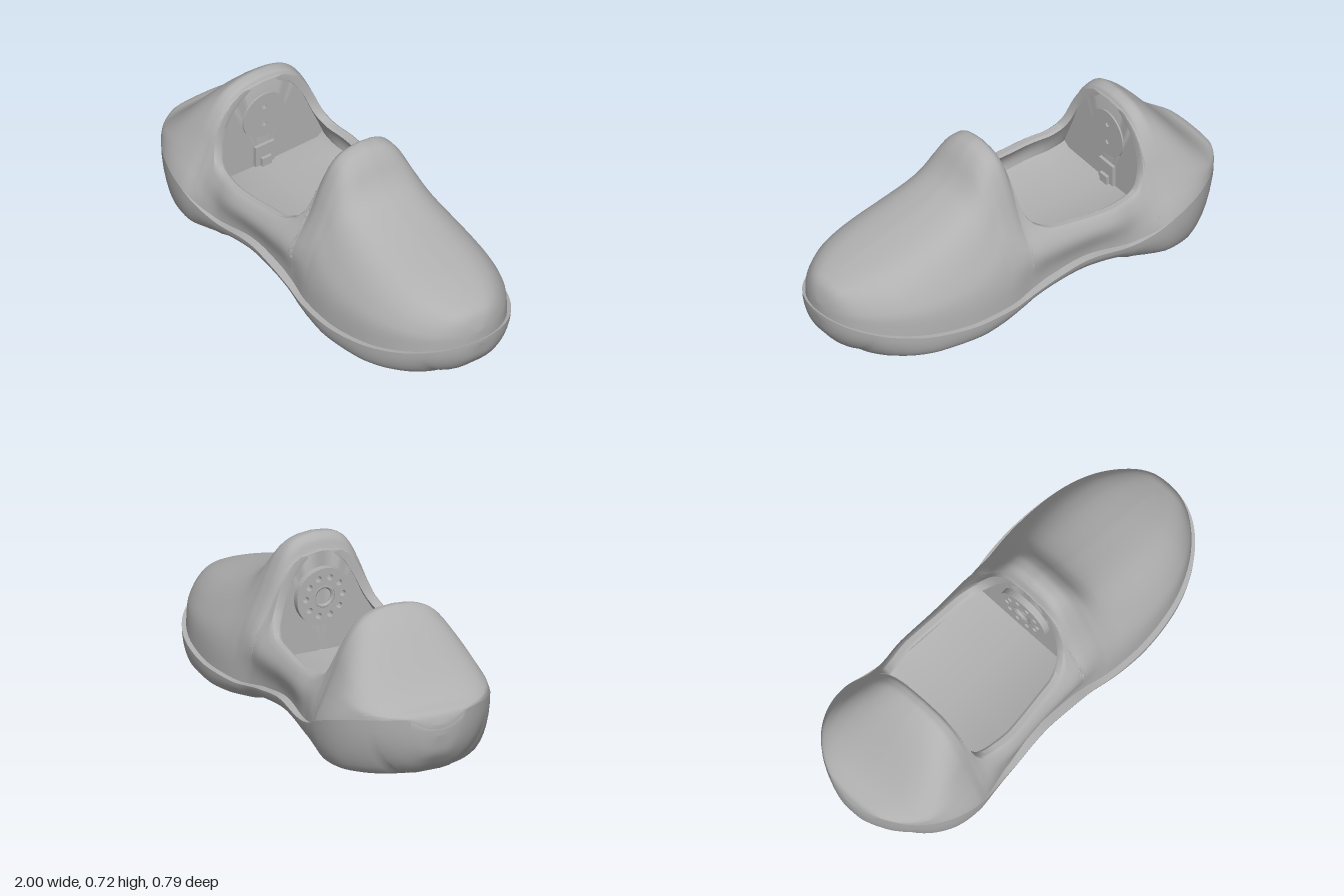
import * as THREE from 'three';
import { toCreasedNormals } from 'three/addons/utils/BufferGeometryUtils.js';

// Smooth monotone interpolation through [x, value] pairs
function curve(pts) {
  const n = pts.length;
  const d = pts.slice(1).map((p, i) => (p[1] - pts[i][1]) / (p[0] - pts[i][0]));
  const m = pts.map((p, i) => {
    if (i === 0) return d[0];
    if (i === n - 1) return d[n - 2];
    return d[i - 1] * d[i] <= 0 ? 0 : (2 * d[i - 1] * d[i]) / (d[i - 1] + d[i]);
  });
  return (x) => {
    if (x <= pts[0][0]) return pts[0][1];
    if (x >= pts[n - 1][0]) return pts[n - 1][1];
    let i = 0;
    while (x > pts[i + 1][0]) i++;
    const w = pts[i + 1][0] - pts[i][0], t = (x - pts[i][0]) / w, u = 1 - t;
    return pts[i][1] * (1 + 2 * t) * u * u + m[i] * w * t * u * u
      + pts[i + 1][1] * t * t * (3 - 2 * t) - m[i + 1] * w * t * t * u;
  };
}

// Shape rules along the length
const widthBase = curve([[-1, 0.633], [-0.95, 0.618], [-0.9, 0.605], [-0.8, 0.572], [-0.7, 0.533], [-0.6, 0.488], [-0.5, 0.437],
  [-0.4, 0.4], [-0.1, 0.353], [0.1, 0.363], [0.25, 0.398], [0.4, 0.431], [0.55, 0.46], [0.7, 0.49], [0.8, 0.507], [0.9, 0.525], [1, 0.56]]);
const width = (x) => widthBase(x) * Math.sqrt(Math.max(0, 1 - x * x));
const bottom = curve([[-1, 0.2], [-0.985, 0.12], [-0.96, 0.075], [-0.92, 0.025], [-0.88, 0], [-0.4, 0], [-0.37, 0.02], [-0.3, 0.04],
  [-0.17, 0.05], [0, 0.04], [0.11, 0.02], [0.15, 0], [0.89, 0], [0.93, 0.02], [0.97, 0.065], [0.985, 0.095], [1, 0.165]]);
const bottomRatio = curve([[-1, 0.2], [-0.88, 0.2], [-0.86, 0.42], [-0.8, 0.67], [-0.7, 0.81], [-0.6, 0.83], [-0.5, 0.73],
  [-0.43, 0.58], [-0.38, 0.5], [-0.15, 0.58], [0.05, 0.55], [0.15, 0.58], [0.2, 0.7], [0.28, 0.84], [0.4, 0.91], [0.6, 0.91],
  [0.7, 0.87], [0.8, 0.74], [0.86, 0.5], [0.89, 0.2], [1, 0.2]]);
const seam = curve([[-1, 0.23], [-0.97, 0.287], [-0.85, 0.275], [-0.75, 0.25], [-0.62, 0.205], [-0.5, 0.15], [-0.4, 0.13],
  [-0.2, 0.145], [0, 0.12], [0.2, 0.085], [0.4, 0.085], [0.6, 0.1], [0.8, 0.13], [0.95, 0.165], [1, 0.18]]);
const inset = curve([[-0.6, 0], [-0.4, 0.025], [-0.2, 0.04], [0, 0.04], [0.2, 0.028], [0.5, 0.024], [0.8, 0.015], [0.95, 0.008], [1, 0]]);
const tipShift = curve([[0.3, 0], [0.7, 0.01]]);
const top = curve([[-1, 0.25], [-0.985, 0.29], [-0.96, 0.307], [-0.93, 0.318], [-0.63, 0.63], [-0.59, 0.655], [-0.555, 0.648],
  [-0.54, 0.625], [-0.5, 0.64], [0.08, 0.64], [0.1, 0.65], [0.12, 0.7], [0.15, 0.722], [0.19, 0.715], [0.24, 0.67],
  [0.28, 0.605], [0.33, 0.55], [0.42, 0.5], [0.94, 0.318], [0.965, 0.295], [0.98, 0.26], [0.99, 0.22]]);
const rim = curve([[-0.54, 0.61], [-0.532, 0.47], [-0.515, 0.39], [-0.48, 0.34], [-0.42, 0.32], [-0.3, 0.315], [-0.05, 0.33],
  [0.03, 0.36], [0.07, 0.41], [0.088, 0.48], [0.1, 0.63]]);
const bulge = curve([[-0.56, 0], [-0.4, 0.022], [-0.2, 0.038], [0.02, 0.035], [0.22, 0]]);

// Half width against height: instep, heel cone and low toe sections
const instep = curve([[0, 1], [0.15, 0.985], [0.36, 0.9], [0.6, 0.71], [0.78, 0.57], [0.92, 0.42], [0.985, 0.23], [1, 0]]);
const cone = curve([[0, 1], [0.06, 0.98], [0.22, 0.88], [0.44, 0.75], [0.67, 0.63], [0.89, 0.44], [0.985, 0.21], [1, 0]]);
const low = curve([[0, 1], [0.3, 0.985], [0.55, 0.9], [0.8, 0.72], [0.94, 0.48], [0.985, 0.25], [1, 0]]);
function upperZ(x, y) {
  const h = (y - seam(x)) / (top(x) - seam(x));
  const k = THREE.MathUtils.clamp((top(x) - 0.38) / 0.3, 0, 1);
  const tall = THREE.MathUtils.lerp(cone(h), instep(h), THREE.MathUtils.smoothstep(x, -0.56, -0.3));
  const w = Math.max(0, width(Math.min(1, x + tipShift(x))) - inset(x));
  const flank = bulge(x) * Math.exp(-(((y - 0.27) / 0.08) ** 2));
  return w * THREE.MathUtils.lerp(low(h), tall, k) + flank;
}

// Half sections as [z, y] lists
function soleSection(x) {
  const w = width(x), b = bottom(x), s = seam(x), r = bottomRatio(x);
  const pts = [[0, 0], [0.5 * r, 0], [r, 0]];
  for (let i = 1; i <= 8; i++) {
    const a = (i / 8) * Math.PI / 2;
    pts.push([r + (1 - r) * Math.sin(a), 1 - Math.cos(a)]);
  }
  pts.push([0, 1]);
  return pts.map(([z, y]) => [z * w, b + y * (s - b)]);
}
function upperSection(x) {
  const pts = [];
  for (let i = 0; i <= 20; i++) {
    const y = THREE.MathUtils.lerp(seam(x), top(x), 1 - (1 - i / 20) ** 2);
    pts.push([i === 20 ? 0 : upperZ(x, y), y]);
  }
  return pts;
}
function openSection(x) {
  const r = rim(x), s = seam(x), pts = [];
  for (let i = 0; i <= 12; i++) {
    const y = s + (r - s) * (i / 12);
    pts.push([upperZ(x, y), y]);
  }
  const z = pts[12][0];
  pts.push([z - 0.01, r + 0.008], [z - 0.035, r + 0.008], [z - 0.045, r]);
  for (let i = 1; i <= 6; i++) {
    const y = r + (0.22 - r) * (i / 6);
    pts.push([upperZ(x, y) - 0.045, y]);
  }
  pts.push([pts[pts.length - 1][0] - 0.03, 0.2], [0, 0.195]);
  return pts;
}

const span = (a, b, n) => Array.from({ length: n + 1 }, (_, i) => a + (b - a) * (1 - Math.cos(Math.PI * i / n)) / 2);

// Mirrors each half section and skins them; cap = 1 closes the +x end, -1 the -x end
function loft(xs, section, cap = 0) {
  const rows = xs.map((x) => {
    const half = section(x);
    const other = half.slice(0, -1).reverse().map(([z, y]) => [-z, y]);
    return [...half, ...other].map(([z, y]) => [x, y, z]);
  });
  const pos = [];
  const tri = (a, b, c) => pos.push(...a, ...b, ...c);
  for (let i = 0; i < rows.length - 1; i++) {
    for (let j = 0; j < rows[0].length - 1; j++) {
      const a = rows[i][j], b = rows[i + 1][j], c = rows[i + 1][j + 1], d = rows[i][j + 1];
      tri(a, b, c);
      tri(a, c, d);
    }
  }
  if (cap) {
    const row = cap > 0 ? rows[rows.length - 1] : rows[0];
    const mid = [row[0][0], 0.2, 0];
    for (let j = 0; j < row.length - 1; j++) {
      if (cap > 0) tri(mid, row[j + 1], row[j]);
      else tri(mid, row[j], row[j + 1]);
    }
  }
  const geo = new THREE.BufferGeometry();
  geo.setAttribute('position', new THREE.Float32BufferAttribute(pos, 3));
  return toCreasedNormals(geo, 0.6);
}

// Flat round plate with drilled holes given as [x, y, radius]
function plate(radius, depth, holes) {
  const shape = new THREE.Shape().absarc(0, 0, radius, 0, Math.PI * 2);
  for (const [x, y, r] of holes) shape.holes.push(new THREE.Path().absarc(x, y, r, 0, Math.PI * 2, true));
  return new THREE.ExtrudeGeometry(shape, { depth, bevelEnabled: false, curveSegments: 24 });
}

export function createModel() {
  const group = new THREE.Group();
  const grey = new THREE.MeshStandardMaterial({ color: 0xb0b0b0, side: THREE.DoubleSide });
  grey.name = 'shellGrey';
  const add = (name, geo, x = 0, y = 0, z = 0, ry = 0) => {
    const mesh = new THREE.Mesh(geo, grey);
    mesh.name = name;
    mesh.position.set(x, y, z);
    mesh.rotation.y = ry;
    group.add(mesh);
  };

  // Shell
  add('sole', loft(span(-1, 1, 120), soleSection));
  add('heelShell', loft(span(-1, -0.54, 48), upperSection, 1));
  add('toeShell', loft(span(0.1, 0.99, 70), upperSection, -1));
  add('ankleOpening', loft(span(-0.54, 0.1, 60), openSection));

  // Pivot plates on the two inner faces
  const ring = Array.from({ length: 10 }, (_, i) => {
    const a = (i / 10) * Math.PI * 2;
    return [0.088 * Math.cos(a), 0.088 * Math.sin(a), 0.014];
  });
  add('toePivotPlate', plate(0.13, 0.03, [[0, 0, 0.05], ...ring]), 0.1, 0.45, 0, -Math.PI / 2);
  add('toePivotHub', new THREE.TorusGeometry(0.045, 0.01, 8, 28), 0.08, 0.45, 0, Math.PI / 2);
  add('heelPivotPlate', plate(0.11, 0.012, [[0, 0.045, 0.012], [0, -0.045, 0.012]]), -0.545, 0.45, 0, Math.PI / 2);

  // Small stop below the heel plate
  add('heelStop', new THREE.BoxGeometry(0.02, 0.1, 0.1), -0.535, 0.25, 0);
  add('heelStopTab', new THREE.BoxGeometry(0.03, 0.04, 0.05), -0.525, 0.22, 0);
  return group;
}
